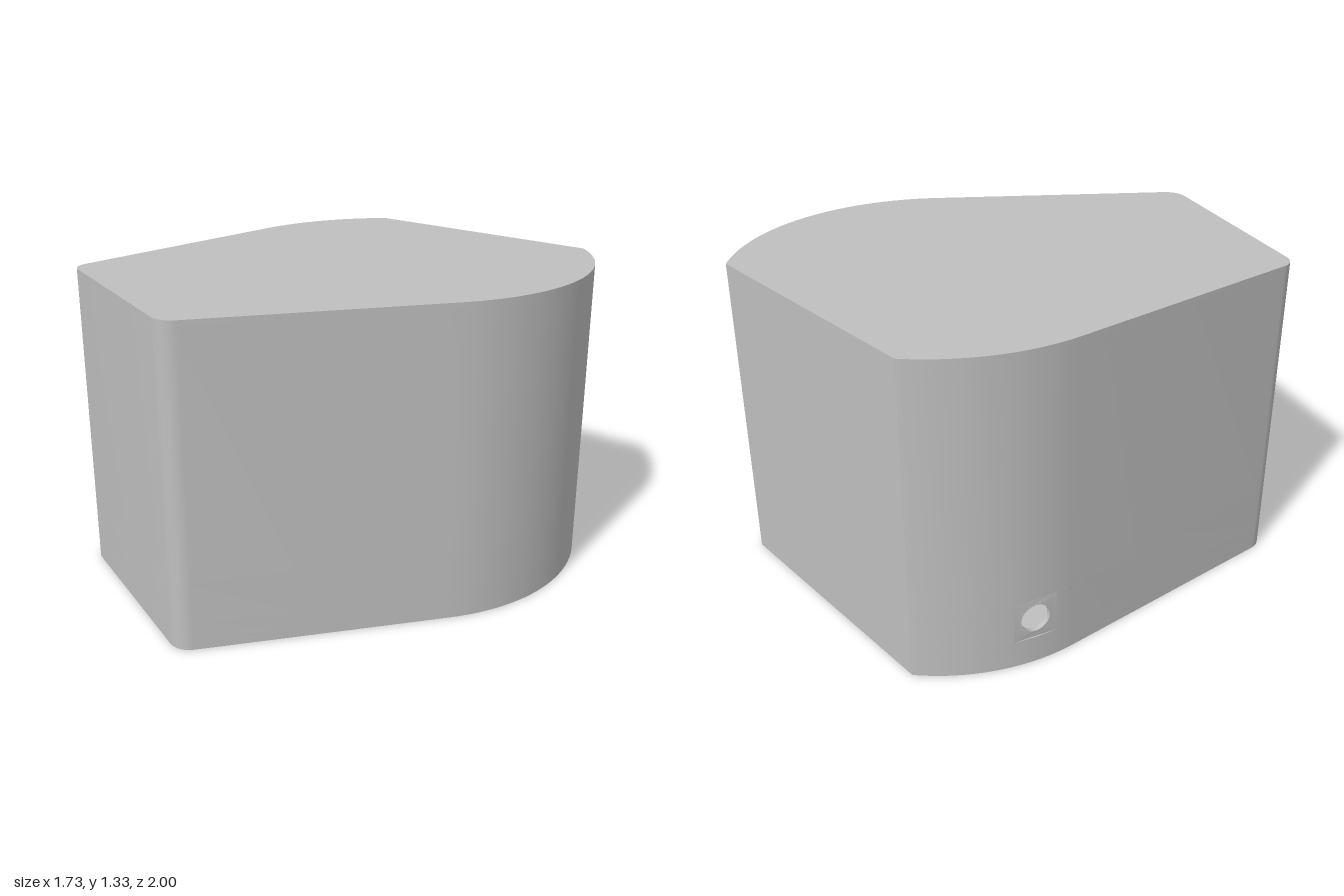
import * as THREE from 'three';
import { toCreasedNormals } from 'three/addons/utils/BufferGeometryUtils.js';

const TAU = Math.PI * 2;
const HEIGHT = 1.333, WALL = 0.02;
// Plan circles (x, -z, radius): large rear round and the two front corners
const REAR = { x: 0.027, y: 0.378, r: 0.838 };
const SIDE = { x: -0.782, y: -0.627, r: 0.085 };
const TIP = { x: 0.005, y: -0.91, r: 0.09 };
const PORT_ANGLE = THREE.MathUtils.degToRad(165);
const PORT_Y = 0.206, PORT_R = 0.06, PANEL = 0.09;

// Angle of the outward normal of the line touching two circles
function tangent(a, b) {
  const dx = b.x - a.x, dy = b.y - a.y;
  const angle = Math.atan2(dy, dx) - Math.acos((a.r - b.r) / Math.hypot(dx, dy));
  return (angle + TAU) % TAU;
}

// Plan outline moved inward by inset, leaving an angular gap at the port
function outline(inset, gap = 0) {
  const pts = [];
  const arc = (c, from, to, n) => {
    for (let i = 0; i <= n; i++) {
      const t = from + (to - from) * i / n;
      pts.push(new THREE.Vector2(c.x + (c.r - inset) * Math.cos(t), c.y + (c.r - inset) * Math.sin(t)));
    }
  };
  const left = tangent(REAR, SIDE), front = tangent(SIDE, TIP), right = tangent(TIP, REAR);
  const back = Math.asin((1 - inset - REAR.y) / (REAR.r - inset));
  arc(REAR, PORT_ANGLE + gap, left, 6);
  arc(SIDE, left, front, 12);
  arc(TIP, front, right, 12);
  arc(REAR, right, TAU + back, 40);
  arc(REAR, Math.PI - back, PORT_ANGLE - gap, 14);
  if (gap === 0) pts.pop();
  return pts;
}

function circle(x, y, r) {
  return new THREE.Path().absarc(x, y, r, 0, TAU, true);
}

export function createModel() {
  const group = new THREE.Group();
  const grey = new THREE.MeshStandardMaterial({ color: 0xbfbfbf });
  grey.name = 'plain grey';

  const add = (name, geometry) => {
    const mesh = new THREE.Mesh(toCreasedNormals(geometry, 0.5), grey);
    mesh.name = name;
    group.add(mesh);
  };

  // Extrudes a plan shape upward between two heights
  const layer = (name, points, holes, y0, y1) => {
    const shape = new THREE.Shape(points);
    shape.holes.push(...holes);
    const geo = new THREE.ExtrudeGeometry(shape, { depth: y1 - y0, bevelEnabled: false, curveSegments: 40 });
    geo.rotateX(-Math.PI / 2).translate(0, y0, 0);
    add(name, geo);
  };

  // Bottom plate: stepped round opening and three screw holes
  const screws = () => [[0.78, 0], [0, -0.78], [-0.78, 0]]
    .map(([x, y]) => circle(REAR.x + x, REAR.y + y, 0.026));
  layer('bottomPlateRecess', outline(0), [circle(REAR.x, REAR.y, 0.619), ...screws()], 0, 0.02);
  layer('bottomPlateLip', outline(0), [circle(REAR.x, REAR.y, 0.6), ...screws()], 0.02, 0.04);

  // Hollow wall, with a band left open for the port panel
  const low = PORT_Y - PANEL, high = PORT_Y + PANEL, gap = PANEL / REAR.r;
  const inner = () => new THREE.Path(outline(WALL));
  layer('lowerWall', outline(0), [inner()], 0.04, low);
  layer('portBandWall', [...outline(0, gap), ...outline(WALL, gap).reverse()], [], low, high);
  layer('upperWall', outline(0), [inner()], high, HEIGHT - WALL);
  layer('roof', outline(0), [], HEIGHT - WALL, HEIGHT);

  // Port panel: flat plate with a round hole, bent onto the rear curve
  const panel = new THREE.Shape([[-1, -1], [1, -1], [1, 1], [-1, 1]]
    .map(([x, y]) => new THREE.Vector2(x * PANEL, y * PANEL)));
  panel.holes.push(circle(0, 0, PORT_R));
  const panelGeo = new THREE.ExtrudeGeometry(panel, { depth: WALL, bevelEnabled: false, curveSegments: 32 });
  const pos = panelGeo.attributes.position;
  for (let i = 0; i < pos.count; i++) {
    const angle = PORT_ANGLE + pos.getX(i) / REAR.r;
    const radius = REAR.r - WALL + pos.getZ(i);
    pos.setXYZ(i, REAR.x + radius * Math.cos(angle), PORT_Y + pos.getY(i), -REAR.y - radius * Math.sin(angle));
  }
  add('cablePortPanel', panelGeo);

  return group;
}
